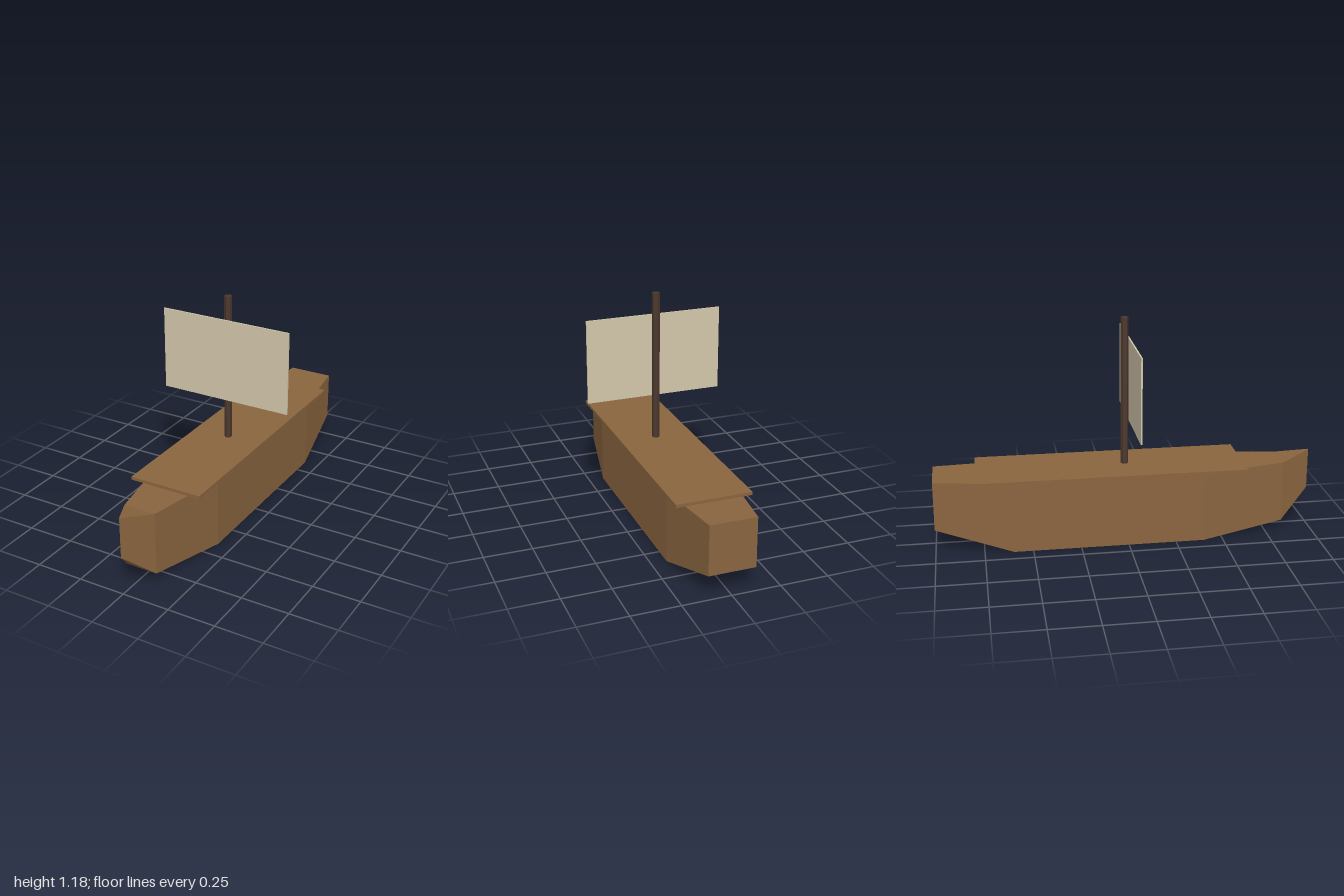
import * as THREE from 'three';

const wood = new THREE.MeshStandardMaterial({ name: 'hullWood', color: 0x8a653f });
const darkWood = new THREE.MeshStandardMaterial({ name: 'mastWood', color: 0x4c382e });
const canvas = new THREE.MeshStandardMaterial({ name: 'sailCanvas', color: 0xd4c8ab });
for (const m of [wood, darkWood, canvas]) m.flatShading = true;

// Hull stations from stern to bow: z, half width, keel y, rail y
const stations = [
  [-1, 0.12, 0.125, 0.385],
  [-0.6, 0.17, 0, 0.376],
  [0.4, 0.17, 0, 0.376],
  [0.84, 0.085, 0.05, 0.381],
  [1, 0.003, 0.2, 0.418],
];

// Closed, faceted skin over the rectangular stations
function hullGeometry() {
  const pos = [];
  const rings = stations.map(([z, w, lo, hi]) => [[-w, lo, z], [w, lo, z], [w, hi, z], [-w, hi, z]]);
  const quad = (a, b, c, d) => pos.push(...a, ...b, ...c, ...a, ...c, ...d);
  for (let i = 0; i < rings.length - 1; i++) {
    for (let k = 0; k < 4; k++) {
      const n = (k + 1) % 4;
      quad(rings[i][k], rings[i][n], rings[i + 1][n], rings[i + 1][k]);
    }
  }
  const [s, b] = [rings[0], rings[rings.length - 1]];
  quad(s[3], s[2], s[1], s[0]); // transom
  quad(b[0], b[1], b[2], b[3]); // stem
  const g = new THREE.BufferGeometry();
  g.setAttribute('position', new THREE.Float32BufferAttribute(pos, 3));
  g.computeVertexNormals();
  return g;
}

export function createModel() {
  const ship = new THREE.Group();
  ship.name = 'sailingShip';
  const add = (name, geometry, material, x, y, z) => {
    const mesh = new THREE.Mesh(geometry, material);
    mesh.name = name;
    mesh.position.set(x, y, z);
    ship.add(mesh);
  };

  add('hull', hullGeometry(), wood, 0, 0, 0);
  // Deck plank overhanging the sides
  add('deck', new THREE.BoxGeometry(0.39, 0.016, 1.4), wood, 0, 0.388, -0.08);
  // Mast from the deck to the top
  add('mast', new THREE.CylinderGeometry(0.02, 0.02, 0.8, 6), darkWood, 0, 0.78, 0);
  // Square sail just ahead of the mast
  add('sail', new THREE.BoxGeometry(0.72, 0.44, 0.008), canvas, 0, 0.84, 0.031);
  return ship;
}
